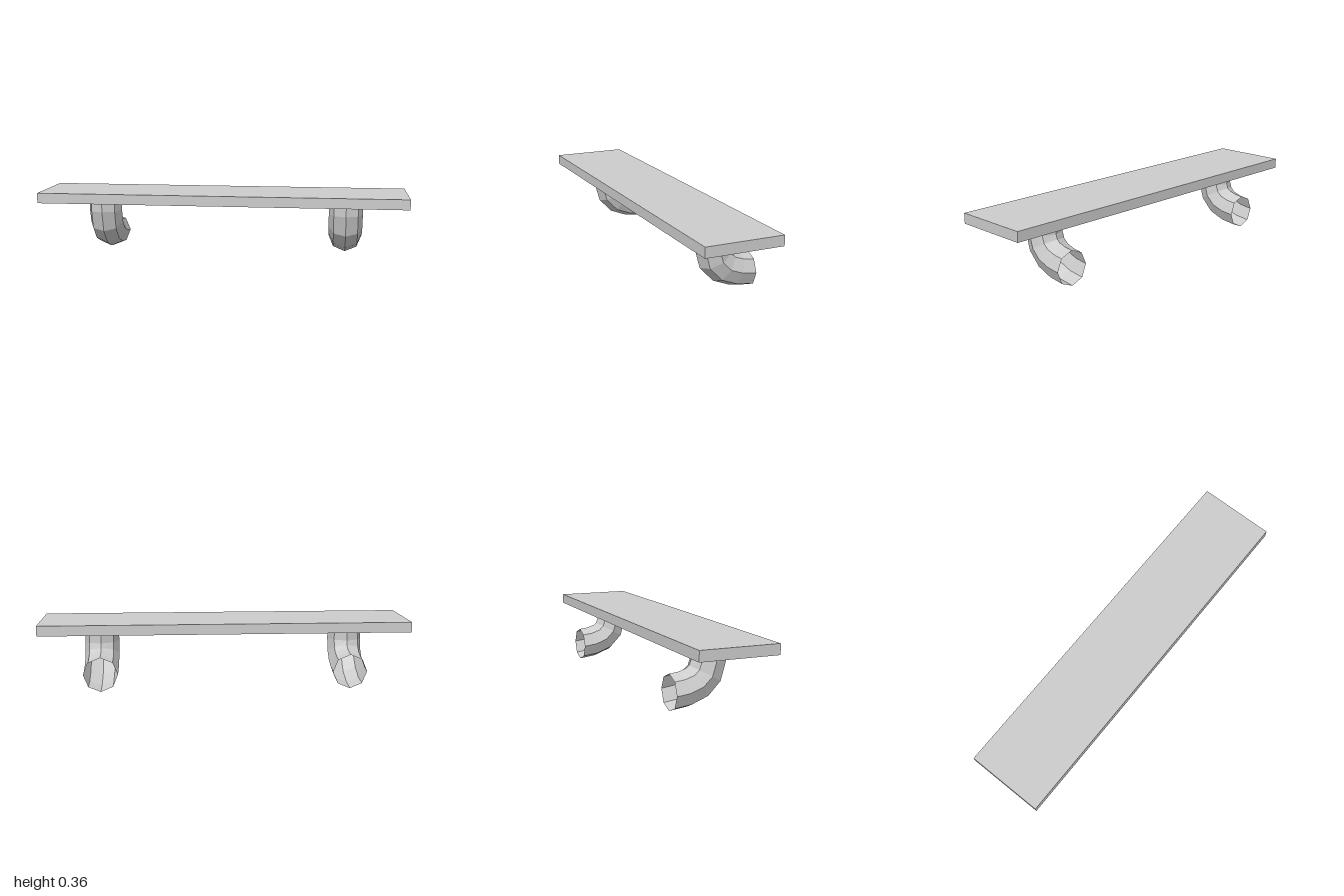
import * as THREE from 'three';

// Open eight-sided elbow pipe, skinned over rings [centre z, centre y, tilt in degrees]
function elbowGeometry(radius, sides) {
  const rings = [
    [0, 0.32, 0], [0, 0.241, 0], [-0.02, 0.173, 28.5],
    [-0.066, 0.127, 56], [-0.134, 0.102, 74.5], [-0.207, 0.0925, 90],
  ];
  const positions = [], index = [];
  for (const [z, y, degrees] of rings) {
    const tilt = THREE.MathUtils.degToRad(degrees);
    for (let i = 0; i < sides; i++) {
      const a = (i / sides) * Math.PI * 2;
      const out = Math.cos(a) * radius;
      positions.push(Math.sin(a) * radius, y - out * Math.sin(tilt), z + out * Math.cos(tilt));
    }
  }
  for (let r = 0; r < rings.length - 1; r++) {
    for (let i = 0; i < sides; i++) {
      const a = r * sides + i, b = r * sides + (i + 1) % sides;
      index.push(a, a + sides, b, b, a + sides, b + sides);
    }
  }
  const geometry = new THREE.BufferGeometry();
  geometry.setAttribute('position', new THREE.Float32BufferAttribute(positions, 3));
  geometry.setIndex(index);
  const faceted = geometry.toNonIndexed();
  faceted.computeVertexNormals();
  return faceted;
}

export function createModel() {
  const group = new THREE.Group();
  group.name = 'wallShelf';

  const grey = new THREE.MeshStandardMaterial({
    color: 0xcccccc, flatShading: true, side: THREE.DoubleSide,
  });
  grey.name = 'light grey';

  // Board
  const board = new THREE.Mesh(new THREE.BoxGeometry(2, 0.055, 0.418), grey);
  board.name = 'shelfBoard';
  board.position.y = 0.3325;
  group.add(board);

  // Pipe brackets, bending back from under the board
  const pipe = elbowGeometry(0.0925, 8);
  for (const side of [1, -1]) {
    const bracket = new THREE.Mesh(pipe, grey);
    bracket.name = side > 0 ? 'leftPipeBracket' : 'rightPipeBracket';
    bracket.position.x = side * 0.672;
    group.add(bracket);
  }
  return group;
}
